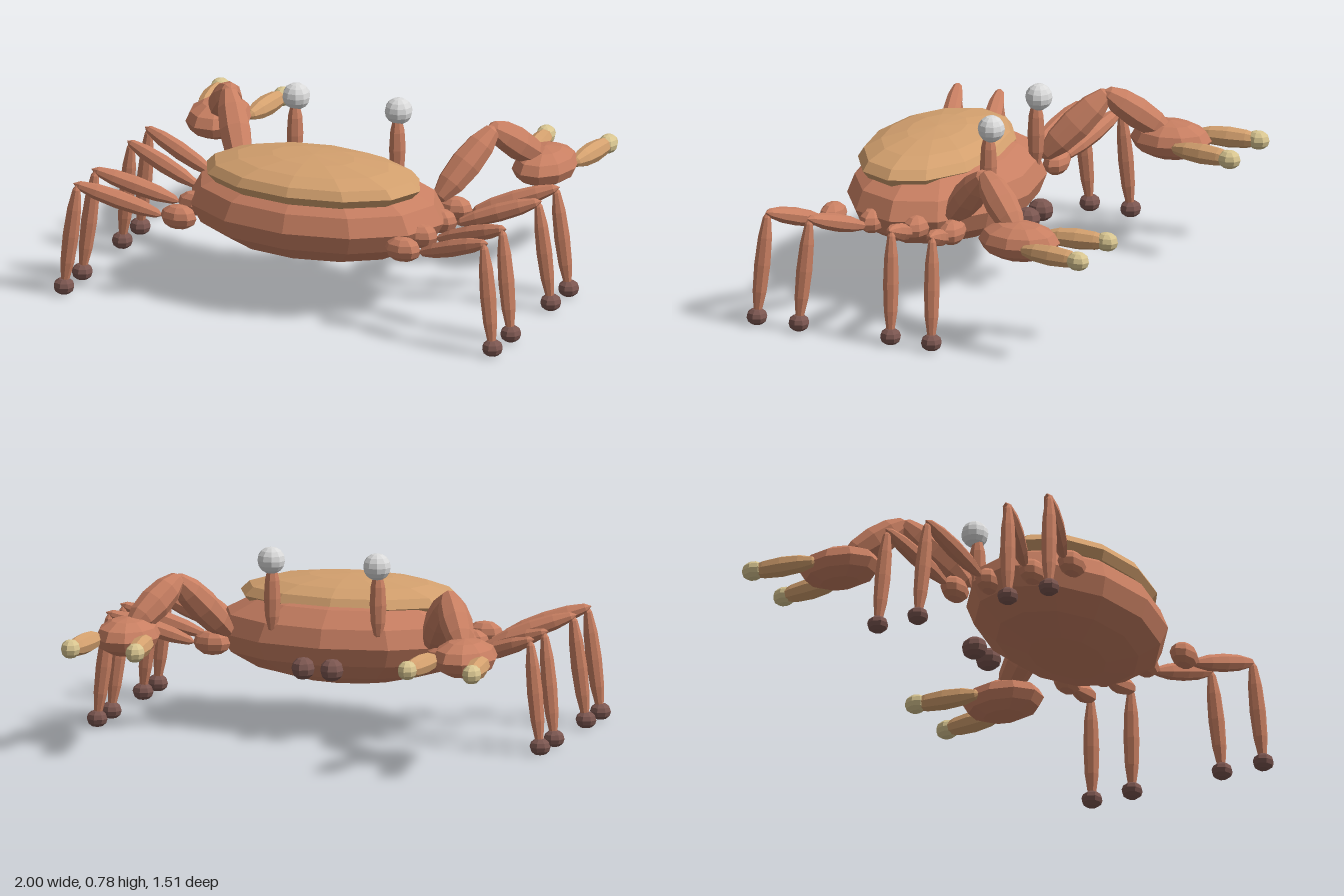
import * as THREE from 'three';

const flat = (name, color) => {
  const m = new THREE.MeshStandardMaterial({ color, flatShading: true });
  m.name = name;
  return m;
};

export function createModel() {
  const crab = new THREE.Group();
  crab.name = 'crab';
  const clay = flat('clay', 0xc87f62);
  const tan = flat('tan', 0xd3a06e);
  const cream = flat('cream', 0xd8c590);
  const umber = flat('umber', 0x7b5650);
  const white = flat('white', 0xdadada);

  // Low-poly ellipsoid with its poles along y
  const ball = (parent, name, mat, pos, radii, segs = 8, rows = 6) => {
    const geo = new THREE.SphereGeometry(1, segs, rows).scale(...radii);
    const mesh = new THREE.Mesh(geo, mat);
    mesh.name = name;
    mesh.position.set(...pos);
    parent.add(mesh);
    return mesh;
  };

  // Spindle-shaped limb segment stretched between two points
  const UP = new THREE.Vector3(0, 1, 0);
  const limb = (parent, name, mat, from, to, r) => {
    const a = new THREE.Vector3(...from), b = new THREE.Vector3(...to);
    const dir = b.clone().sub(a);
    const mid = a.add(b).multiplyScalar(0.5);
    const mesh = ball(parent, name, mat, mid.toArray(), [r, dir.length() / 2, r]);
    mesh.quaternion.setFromUnitVectors(UP, dir.normalize());
    return mesh;
  };

  // Body and the carapace on its back
  ball(crab, 'body', clay, [0, 0.385, 0.3], [0.56, 0.2, 0.37], 12, 8);
  ball(crab, 'carapace', tan, [0, 0.53, 0.345], [0.475, 0.095, 0.285], 12, 8);

  // Legs: z of hip, knee and foot
  const legs = [
    [0.04, -0.06, -0.08],
    [0.2, 0.125, 0.105],
    [0.4, 0.495, 0.52],
    [0.58, 0.685, 0.71],
  ];

  for (const s of [1, -1]) {
    const side = s > 0 ? 'positive' : 'negative';

    legs.forEach(([hip, knee, foot], i) => {
      const leg = new THREE.Group();
      leg.name = `${side}SideLeg${i + 1}`;
      crab.add(leg);
      ball(leg, 'hip', clay, [s * 0.5, 0.36, hip], [0.08, 0.052, 0.053]);
      limb(leg, 'upperLeg', clay, [s * 0.57, 0.355, hip], [s * 0.925, 0.48, knee], 0.038);
      limb(leg, 'lowerLeg', clay, [s * 0.905, 0.485, knee], [s * 0.955, 0.03, foot], 0.034);
      ball(leg, 'foot', umber, [s * 0.955, 0.038, foot], [0.045, 0.036, 0.045]);
    });

    // Claw arm, palm and two tipped fingers
    const claw = new THREE.Group();
    claw.name = `${side}SideClaw`;
    crab.add(claw);
    limb(claw, 'upperArm', clay, [s * 0.43, 0.39, 0.08], [s * 0.6, 0.67, -0.16], 0.068);
    limb(claw, 'forearm', clay, [s * 0.575, 0.67, -0.135], [s * 0.725, 0.47, -0.37], 0.068);
    ball(claw, 'palm', clay, [s * 0.727, 0.45, -0.37], [0.132, 0.08, 0.175], 10, 6);
    for (const [name, root, tip] of [['outerFinger', 0.83, 0.865], ['innerFinger', 0.62, 0.587]]) {
      limb(claw, name, tan, [s * root, 0.45, -0.42], [s * tip, 0.45, -0.73], 0.044);
      ball(claw, name + 'Tip', cream, [s * tip, 0.45, -0.7], [0.041, 0.04, 0.051]);
    }

    // Eye on its stalk, and one mouthpart
    ball(crab, 'eyeStalk', clay, [s * 0.228, 0.57, 0.005], [0.036, 0.15, 0.038]);
    ball(crab, 'eye', white, [s * 0.228, 0.73, -0.008], [0.059, 0.056, 0.056], 10, 8);
    ball(crab, 'mouthpart', umber, [s * 0.062, 0.305, -0.095], [0.05, 0.047, 0.056]);
  }

  return crab;
}
